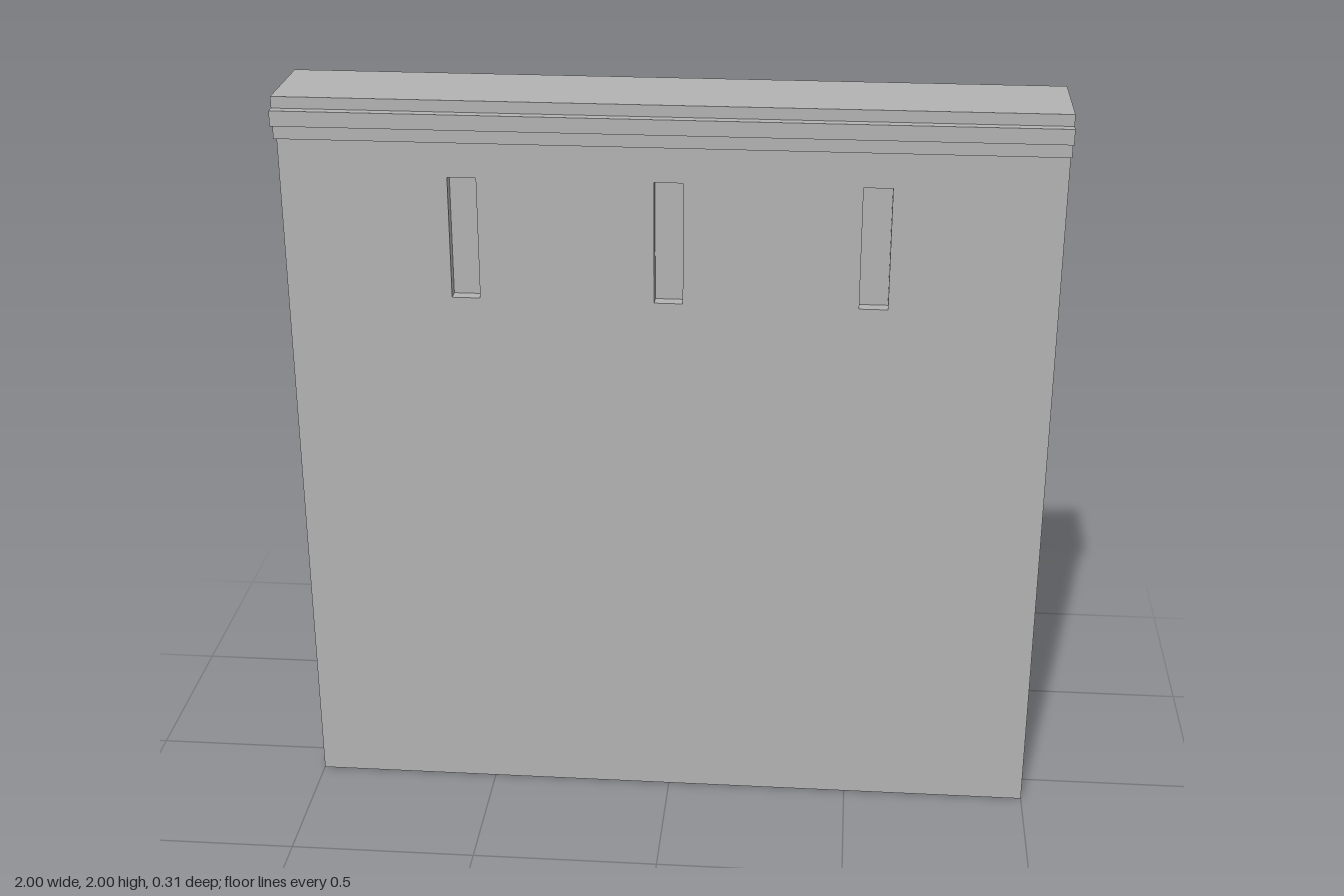
import * as THREE from 'three';

const stone = new THREE.MeshStandardMaterial({ color: 0xb2b2b2, side: THREE.DoubleSide });
stone.name = 'stone grey';

const WALL_Z = 0.1, NICHE_Z = 0.066, CORNICE_Y = 1.89;
const NICHE_W = 0.074, NICHE_BOTTOM = 1.465, NICHE_TOP = 1.79;

function add(parent, geometry, name) {
  const mesh = new THREE.Mesh(geometry, stone);
  mesh.name = name;
  parent.add(mesh);
  return mesh;
}

// Sweeps a profile of [y, z] points along x, from x0 to x1, with hard edges
function sheet(points, x0 = -1, x1 = 1) {
  const pos = [];
  for (let i = 0; i < points.length - 1; i++) {
    const [ya, za] = points[i], [yb, zb] = points[i + 1];
    pos.push(x0, ya, za, x0, yb, zb, x1, yb, zb);
    pos.push(x0, ya, za, x1, yb, zb, x1, ya, za);
  }
  const g = new THREE.BufferGeometry();
  g.setAttribute('position', new THREE.Float32BufferAttribute(pos, 3));
  g.computeVertexNormals();
  return g;
}

function rectangle(PathType, x0, y0, x1, y1) {
  return new PathType([[x0, y0], [x1, y0], [x1, y1], [x0, y1]].map(p => new THREE.Vector2(...p)));
}

// One long face: pierced wall, recessed niches and stepped cornice
function createSide(name) {
  const side = new THREE.Group();
  side.name = name;
  const half = NICHE_W / 2, depth = WALL_Z - NICHE_Z;
  const height = NICHE_TOP - NICHE_BOTTOM, midY = (NICHE_TOP + NICHE_BOTTOM) / 2;

  const shape = rectangle(THREE.Shape, -1, 0, 1, CORNICE_Y);
  for (const x of [-0.529, 0, 0.529]) {
    shape.holes.push(rectangle(THREE.Path, x - half, NICHE_BOTTOM, x + half, NICHE_TOP));

    // Top, back and sill of the niche, then its two jambs
    add(side, sheet([[NICHE_TOP, WALL_Z], [NICHE_TOP, NICHE_Z],
      [NICHE_BOTTOM, NICHE_Z], [NICHE_BOTTOM, WALL_Z]], x - half, x + half), 'niche');
    for (const s of [-1, 1]) {
      const jamb = add(side, new THREE.PlaneGeometry(depth, height), 'nicheJamb');
      jamb.position.set(x + s * half, midY, (WALL_Z + NICHE_Z) / 2);
      jamb.rotation.y = -s * Math.PI / 2;
    }
  }
  add(side, new THREE.ShapeGeometry(shape), 'wallFace').position.z = WALL_Z;

  add(side, sheet([[2, 0.131], [1.97, 0.131], [1.97, 0.157], [1.93, 0.157],
    [1.93, 0.131], [CORNICE_Y, 0.131], [CORNICE_Y, WALL_Z]]), 'cornice');
  return side;
}

export function createModel() {
  const model = new THREE.Group();
  model.name = 'wallSection';

  // Matching long faces; the two ends stay open
  model.add(createSide('frontSide'));
  const back = createSide('backSide');
  back.rotation.y = Math.PI;
  model.add(back);

  add(model, sheet([[2, -0.131], [2, 0.131]]), 'topSlab');
  add(model, sheet([[0, WALL_Z], [0, -WALL_Z]]), 'base');
  return model;
}
